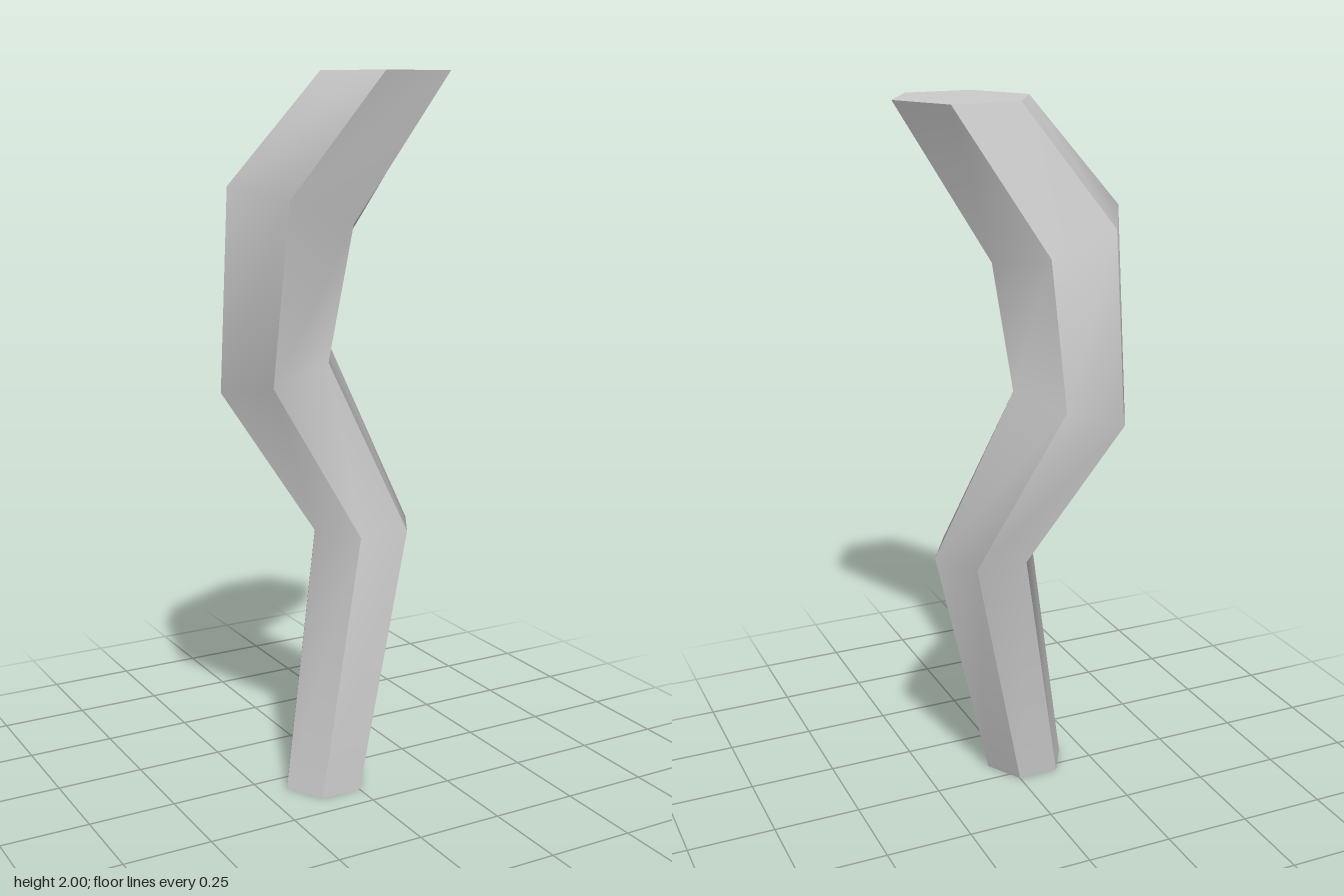
import * as THREE from 'three';

const SIDES = 6;

// Cross-sections from foot to tip: centre, width across corners, tilt about z
const RINGS = [
  { c: [-0.06, 0, 0.07], width: 0.24, tilt: 0 },
  { c: [0.09, 0.74, 0.02], width: 0.3, tilt: 0 },
  { c: [-0.11, 1.19, -0.12], width: 0.36, tilt: 0.33 },
  { c: [-0.12, 1.64, 0], width: 0.4, tilt: -0.33 },
  { c: [0.11, 2, 0.1], width: 0.39, tilt: 0 },
];

// Corner k of a ring, counter-clockwise seen from above
function corner({ c, width, tilt }, k) {
  const a = (k / SIDES) * Math.PI * 2;
  const r = width / 2;
  const u = r * Math.cos(a);
  return [c[0] + u * Math.cos(tilt), c[1] + u * Math.sin(tilt), c[2] - r * Math.sin(a)];
}

// One strip per side: smooth along its length, sharp against its neighbours
function stemGeometry() {
  const positions = [];
  const indices = [];
  for (let k = 0; k < SIDES; k++) {
    RINGS.forEach((ring, i) => {
      const b = positions.length / 3;
      positions.push(...corner(ring, k), ...corner(ring, k + 1));
      if (i < RINGS.length - 1) indices.push(b, b + 1, b + 3, b, b + 3, b + 2);
    });
  }
  const geometry = new THREE.BufferGeometry();
  geometry.setAttribute('position', new THREE.Float32BufferAttribute(positions, 3));
  geometry.setIndex(indices);
  geometry.computeVertexNormals();
  return geometry;
}

export function createModel() {
  const group = new THREE.Group();
  group.name = 'bentStem';
  const material = new THREE.MeshStandardMaterial({ color: 0xcccccc, side: THREE.DoubleSide });

  // Bent hexagonal stem, open at the foot
  const stem = new THREE.Mesh(stemGeometry(), material);
  stem.name = 'stem';
  group.add(stem);

  // Flat cap on the tip
  const tip = RINGS[RINGS.length - 1];
  const cap = new THREE.Mesh(new THREE.CircleGeometry(tip.width / 2, SIDES), material);
  cap.name = 'topCap';
  cap.rotation.x = -Math.PI / 2;
  cap.position.set(...tip.c);
  group.add(cap);

  return group;
}
